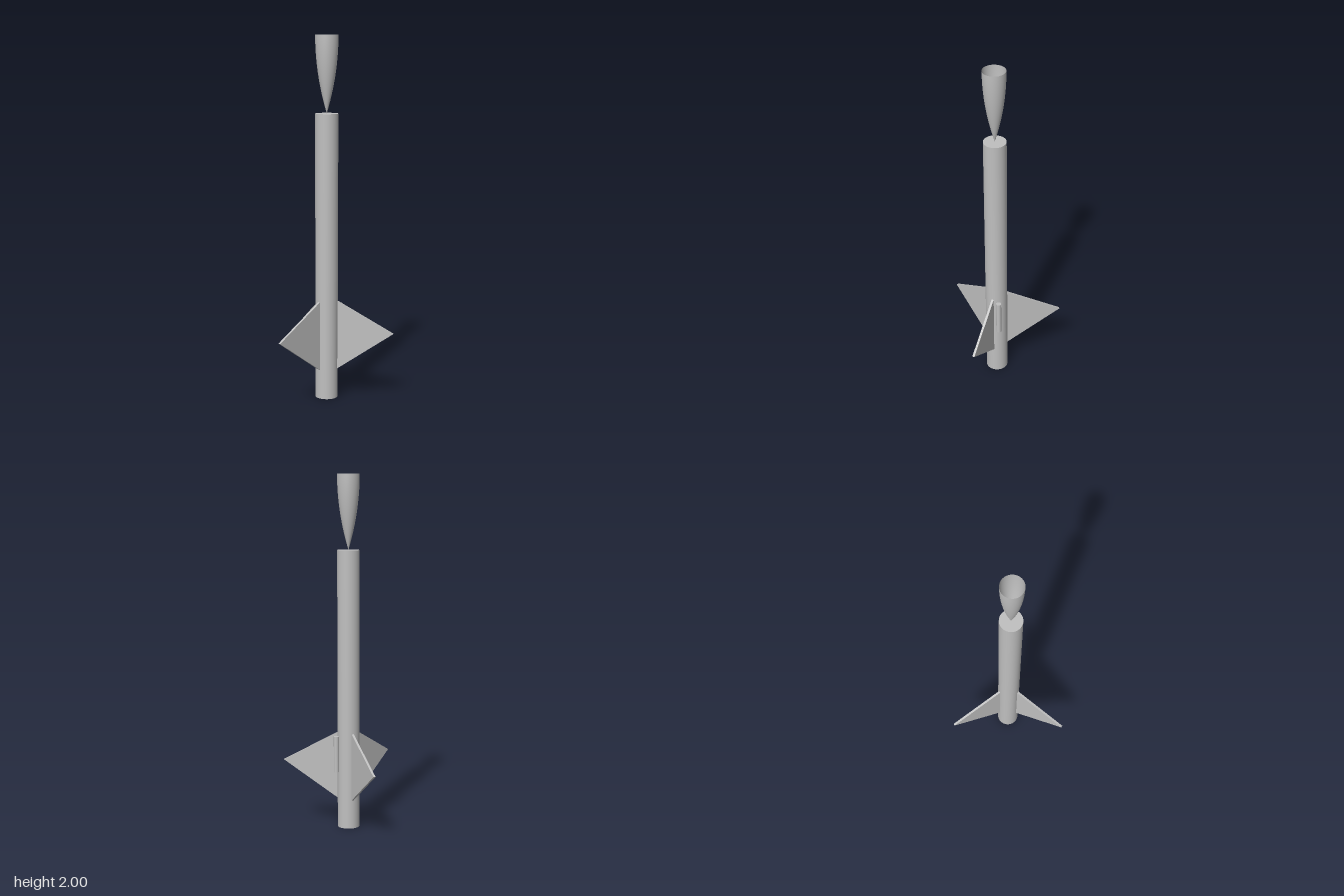
import * as THREE from 'three';

const AXIS_Z = 0.09;      // the tube sits forward of centre, balancing the rear fin
const RADIUS = 0.0625;
const BODY_TOP = 1.582;

export function createModel() {
  const model = new THREE.Group();
  model.name = 'rocket';

  const grey = new THREE.MeshStandardMaterial({ color: 0xbfbfbf });
  grey.name = 'grey';
  const greyShell = new THREE.MeshStandardMaterial({ color: 0xbfbfbf, side: THREE.DoubleSide });
  greyShell.name = 'grey shell';

  const add = (name, geometry, material = grey) => {
    const mesh = new THREE.Mesh(geometry, material);
    mesh.name = name;
    mesh.position.z = AXIS_Z;
    model.add(mesh);
    return mesh;
  };

  // Body tube with closed ends
  add('bodyTube', new THREE.CylinderGeometry(RADIUS, RADIUS, BODY_TOP, 64)).position.y = BODY_TOP / 2;

  // Nose cone: hollow ogive standing on its tip, open at the top
  const profile = [];
  const steps = 24;
  for (let i = 0; i <= steps; i++) {
    const t = i / steps;
    profile.push(new THREE.Vector2(RADIUS * (1 - (1 - t) ** 2), BODY_TOP + (2 - BODY_TOP) * t));
  }
  add('noseCone', new THREE.LatheGeometry(profile, 64), greyShell);

  // Three triangular fins, one pointing straight back
  const thickness = 0.0125;
  const finShape = new THREE.Shape([
    new THREE.Vector2(0.062, 0.165),
    new THREE.Vector2(0.375, 0.38),
    new THREE.Vector2(0.062, 0.55),
  ]);
  const finGeometry = new THREE.ExtrudeGeometry(finShape, { depth: thickness, bevelEnabled: false });
  finGeometry.translate(0, 0, -thickness / 2);
  for (let i = 0; i < 3; i++) {
    add(`fin${i + 1}`, finGeometry).rotation.y = Math.PI / 2 + (i * Math.PI * 2) / 3;
  }

  // Launch lug on the left side of the tube
  const lug = add('launchLug', new THREE.CylinderGeometry(0.015, 0.015, 0.206, 32));
  lug.position.set(0.0745, 0.427, AXIS_Z);

  return model;
}
